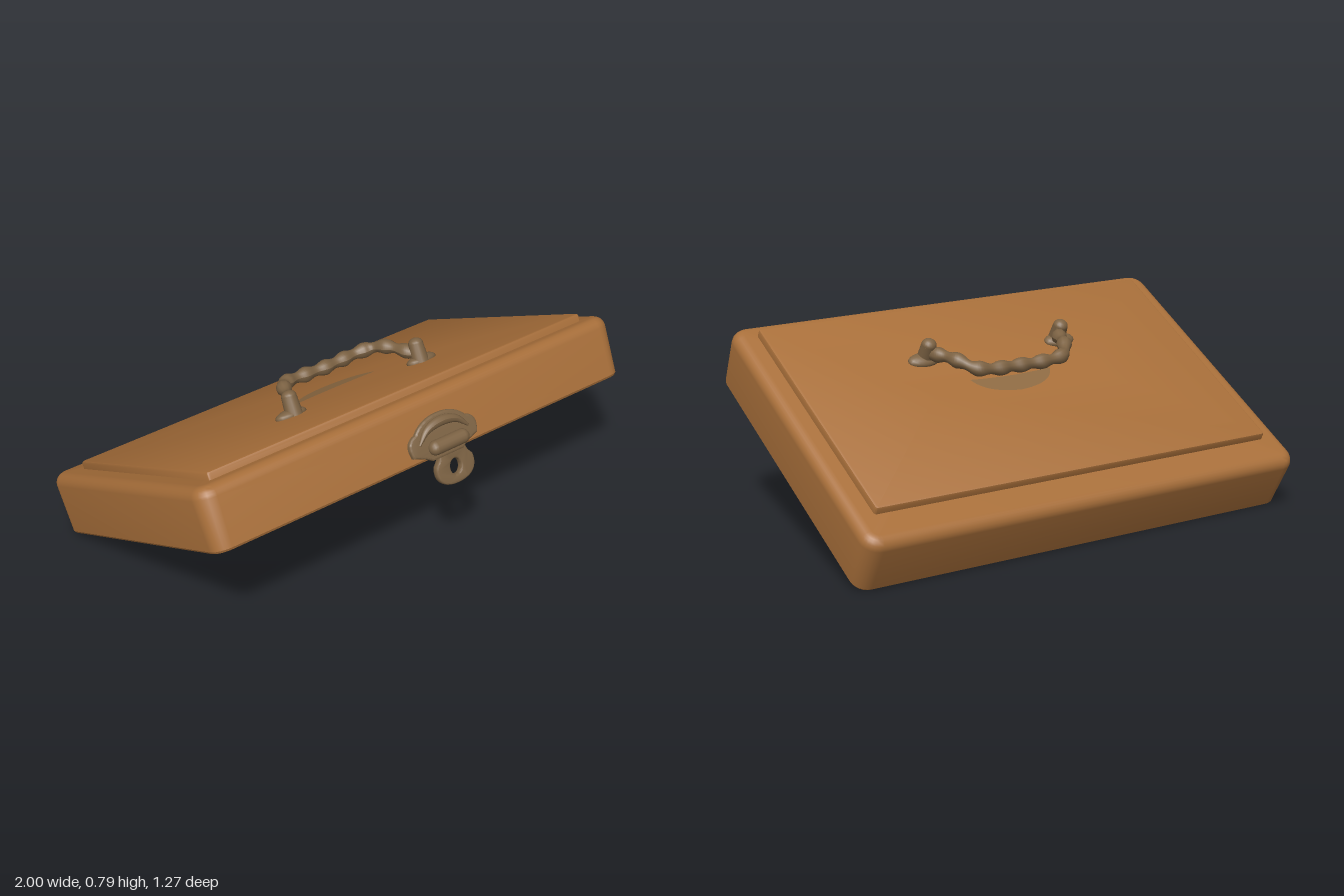
import * as THREE from 'three';
import { toCreasedNormals } from 'three/addons/utils/BufferGeometryUtils.js';

const wood = new THREE.MeshStandardMaterial({ color: 0xa86f3a });
wood.name = 'orange wood';
const lining = new THREE.MeshStandardMaterial({ color: 0x80694c });
lining.name = 'grey brown lining';
const metal = new THREE.MeshStandardMaterial({ color: 0x7d6344 });
metal.name = 'aged metal';

const TILT = THREE.MathUtils.degToRad(27.3);
const MID = 0.165; // lid centre along its own depth

function add(parent, name, geometry, material, x = 0, y = 0, z = 0) {
  const mesh = new THREE.Mesh(geometry, material);
  mesh.name = name;
  mesh.position.set(x, y, z);
  parent.add(mesh);
  return mesh;
}

// Skin over rounded rectangles; each profile entry is [inset, height]
function loft(hx, hz, radius, profile, seg = 6) {
  const pos = [], index = [], n = 4 * (seg + 1);
  for (const [inset, y] of profile) {
    const r = Math.max(radius - inset, 0);
    for (let c = 0; c < 4; c++) {
      const sx = c === 0 || c === 3 ? 1 : -1, sz = c < 2 ? 1 : -1;
      for (let s = 0; s <= seg; s++) {
        const a = (c + s / seg) * Math.PI / 2;
        pos.push(sx * (hx - inset - r) + r * Math.cos(a), y, sz * (hz - inset - r) + r * Math.sin(a));
      }
    }
  }
  for (let k = 0; k < profile.length - 1; k++) {
    for (let j = 0; j < n; j++) {
      const a = k * n + j, b = k * n + (j + 1) % n, c = b + n, d = a + n;
      index.push(a, d, c, a, c, b);
    }
  }
  const g = new THREE.BufferGeometry();
  g.setAttribute('position', new THREE.Float32BufferAttribute(pos, 3));
  g.setIndex(index);
  return toCreasedNormals(g, 0.6);
}

// Tube whose thickness follows swell(u)
function swellingTube(curve, radius, swell, steps, sides = 10) {
  const g = new THREE.TubeGeometry(curve, steps, radius, sides);
  const p = g.attributes.position, v = new THREE.Vector3();
  for (let i = 0; i <= steps; i++) {
    const c = curve.getPointAt(i / steps);
    for (let j = 0; j <= sides; j++) {
      const k = i * (sides + 1) + j;
      v.fromBufferAttribute(p, k).sub(c).multiplyScalar(swell(i / steps)).add(c);
      p.setXYZ(k, v.x, v.y, v.z);
    }
  }
  g.computeVertexNormals();
  return g;
}

function slab(shape, depth, bevel) {
  return toCreasedNormals(new THREE.ExtrudeGeometry(shape, {
    depth, bevelEnabled: true, bevelSize: bevel, bevelThickness: bevel, bevelSegments: 3, curveSegments: 14,
  }), 0.7);
}

function addHandle(lid) {
  const handle = new THREE.Group();
  handle.name = 'handle';
  lid.add(handle);
  const half = [[0.31, 0.57, 0.41], [0.28, 0.6, 0.35], [0.25, 0.625, 0.28], [0.2, 0.628, 0.22]];
  const points = [
    ...half.map(([x, y, z]) => new THREE.Vector3(-x, y, z)),
    new THREE.Vector3(0, 0.622, 0.208),
    ...half.reverse().map(([x, y, z]) => new THREE.Vector3(x, y, z)),
  ];
  const curve = new THREE.CatmullRomCurve3(points);
  const swell = (u) => 0.92 + 0.18 * Math.cos((u - 0.5) * Math.PI * 18);
  add(handle, 'handleGrip', swellingTube(curve, 0.029, swell, 100), metal);
  for (const s of [-1, 1]) {
    add(handle, 'handlePost', new THREE.CylinderGeometry(0.031, 0.036, 0.085, 16), metal, s * 0.315, 0.57, 0.413);
    add(handle, 'postCap', new THREE.SphereGeometry(0.031, 16, 10), metal, s * 0.315, 0.612, 0.413)
      .scale.set(1, 0.8, 1);
    add(handle, 'handleFoot', new THREE.SphereGeometry(1, 18, 12), metal, s * 0.325, 0.54, 0.405)
      .scale.set(0.07, 0.025, 0.038);
  }
  // Worn patch on the panel below the grip
  const patch = new THREE.Shape();
  patch.moveTo(-0.19, 0.255);
  patch.quadraticCurveTo(0, 0.235, 0.19, 0.255);
  patch.quadraticCurveTo(0.16, 0.165, 0, 0.155);
  patch.quadraticCurveTo(-0.16, 0.165, -0.19, 0.255);
  const g = new THREE.ShapeGeometry(patch, 12);
  g.rotateX(-Math.PI / 2).scale(1, 1, -1);
  const mat = lining.clone();
  mat.name = 'worn patch';
  mat.color.set(0x8d6a42);
  mat.side = THREE.DoubleSide;
  add(handle, 'wornPatch', g, mat, 0, 0.538, 0);
}

function addLatch(lid, model) {
  // Bell-shaped back plate on the front wall
  const plate = new THREE.Shape();
  plate.moveTo(-0.15, -0.035);
  plate.quadraticCurveTo(-0.17, 0.025, -0.12, 0.035);
  plate.quadraticCurveTo(-0.08, 0.085, 0, 0.085);
  plate.quadraticCurveTo(0.08, 0.085, 0.12, 0.035);
  plate.quadraticCurveTo(0.17, 0.025, 0.15, -0.035);
  plate.quadraticCurveTo(0.1, -0.05, 0.07, -0.07);
  plate.lineTo(-0.07, -0.07);
  plate.quadraticCurveTo(-0.1, -0.05, -0.15, -0.035);
  add(lid, 'latchPlate', slab(plate, 0.02, 0.008), metal, 0.06, 0.325, 0.785);

  // Raised arch and hinge barrel
  const arch = new THREE.CatmullRomCurve3([[-0.12, 0], [-0.07, 0.045], [0, 0.06], [0.07, 0.045], [0.12, 0]]
    .map(([x, y]) => new THREE.Vector3(x, y, 0)));
  add(lid, 'latchArch', swellingTube(arch, 0.016, (u) => 0.3 + Math.sin(u * Math.PI), 30), metal, 0.06, 0.325, 0.815);
  const barrel = add(lid, 'latchBarrel', new THREE.CapsuleGeometry(0.03, 0.13, 6, 14), metal, 0.07, 0.295, 0.818);
  barrel.rotation.z = Math.PI / 2;

  // Hanging hasp with an eye
  const hasp = new THREE.Shape();
  hasp.moveTo(-0.075, 0.02);
  hasp.bezierCurveTo(-0.05, -0.04, -0.05, -0.05, -0.082, -0.085);
  hasp.bezierCurveTo(-0.095, -0.14, -0.06, -0.165, 0, -0.165);
  hasp.bezierCurveTo(0.06, -0.165, 0.095, -0.14, 0.082, -0.085);
  hasp.bezierCurveTo(0.05, -0.05, 0.05, -0.04, 0.075, 0.02);
  const eye = new THREE.Path();
  eye.absellipse(0, -0.105, 0.034, 0.04, 0, Math.PI * 2, true);
  hasp.holes.push(eye);
  const mesh = add(model, 'latchHasp', slab(hasp, 0.014, 0.008), metal, 0.095, 0.615, 0.555);
  mesh.rotation.x = -0.36;
}

export function createModel() {
  const model = new THREE.Group();
  model.name = 'boxLid';
  const lid = new THREE.Group();
  lid.name = 'tiltedLid';
  lid.rotation.x = -TILT;
  model.add(lid);

  // Outer shell from rim to rounded top
  const top = 0.505, r = 0.045;
  const shell = [[0.035, 0.255], [0.015, 0.253], [0.008, 0.262]];
  for (let i = 0; i <= 6; i++) {
    const a = i / 6 * Math.PI / 2;
    shell.push([r * (1 - Math.cos(a)), top - r + r * Math.sin(a)]);
  }
  shell.push([0.635, top]);
  add(lid, 'outerShell', loft(1, 0.635, 0.07, shell), wood, 0, 0, MID);

  // Hollow underside
  add(lid, 'innerLining', loft(1, 0.635, 0.07, [[0.635, 0.49], [0.06, 0.49], [0.045, 0.475], [0.035, 0.255]]),
    lining, 0, 0, MID);

  // Raised panel
  add(lid, 'raisedPanel', loft(0.907, 0.526, 0.012,
    [[0, 0.49], [0, 0.527], [0.003, 0.534], [0.01, 0.537], [0.526, 0.537]]), wood, 0, 0, 0.202);

  addHandle(lid);
  addLatch(lid, model);
  return model;
}
